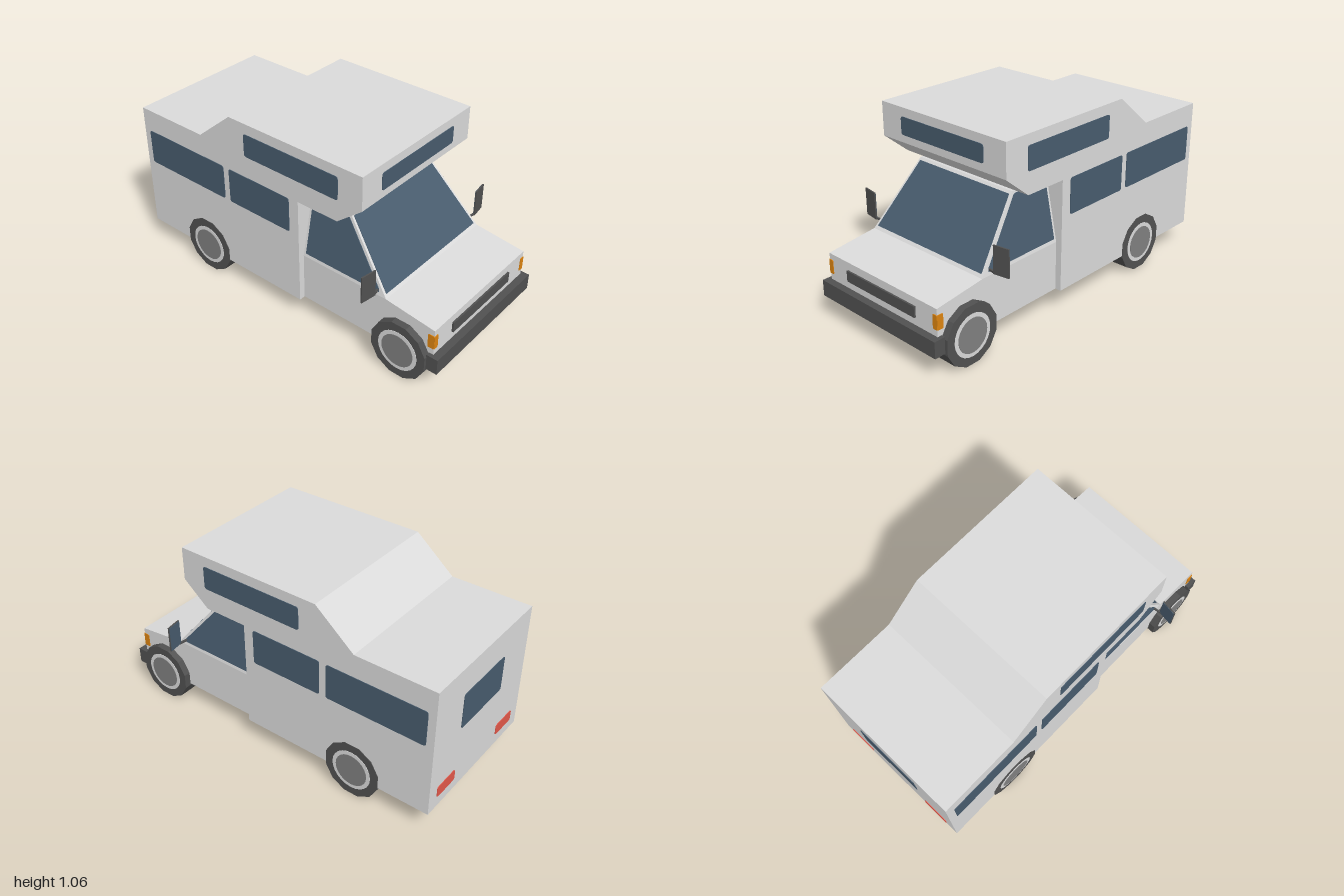
import * as THREE from 'three';

const paint = (name, color) =>
  new THREE.MeshStandardMaterial({ name, color, flatShading: true, side: THREE.DoubleSide });

export function createModel() {
  const van = new THREE.Group();
  van.name = 'camperVan';
  const shell = paint('pale grey bodywork', 0xdbdbdb);
  const glass = paint('blue window', 0x485c6e);
  const dark = paint('dark rubber and trim', 0x515151);
  const hubGrey = paint('hub grey', 0x808080);
  const amber = paint('amber lamp', 0xde8511);
  const red = paint('red lamp', 0xe4584a);

  const add = (name, geometry, material, x = 0, y = 0, z = 0) => {
    const mesh = new THREE.Mesh(geometry, material);
    mesh.name = name;
    mesh.position.set(x, y, z);
    van.add(mesh);
    return mesh;
  };

  // Moves a flat geometry (u, v, depth) onto a wall of the van
  const place = (geometry, wall) => {
    const p = geometry.attributes.position;
    for (let i = 0; i < p.count; i++) p.setXYZ(i, ...wall(p.getX(i), p.getY(i), p.getZ(i)));
    geometry.computeVertexNormals();
    return geometry;
  };
  const outline = (points) => new THREE.Shape(points.map(([u, v]) => new THREE.Vector2(u, v)));
  const panel = (name, points, wall) =>
    add(name, place(new THREE.ShapeGeometry(outline(points)), wall), shell);

  // Thin plate set through a wall, so it shows on both sides
  const plate = (name, shape, wall, material) => {
    const g = new THREE.ExtrudeGeometry(shape, { depth: 0.007, bevelEnabled: false, curveSegments: 3 });
    g.translate(0, 0, -0.0035);
    return add(name, place(g, wall), material);
  };
  const rounded = (u0, u1, v0, v1, r = 0.014) => {
    const s = new THREE.Shape();
    s.moveTo(u0 + r, v0).lineTo(u1 - r, v0).quadraticCurveTo(u1, v0, u1, v0 + r);
    s.lineTo(u1, v1 - r).quadraticCurveTo(u1, v1, u1 - r, v1);
    s.lineTo(u0 + r, v1).quadraticCurveTo(u0, v1, u0, v1 - r);
    s.lineTo(u0, v0 + r).quadraticCurveTo(u0, v0, u0 + r, v0);
    return s;
  };

  // Walls: u runs along z on the sides and along x across the van
  const sideWall = (s, half) => (u, v, w) => [s * (half + w), v, u];
  const cabUpper = (s) => (u, v, w) => [s * (0.4 - (v - 0.4) * 0.206 + w), v, u];
  const across = (z) => (u, v, w) => [u, v, z + w];
  const screen = (u, v, w) => [u, v, 0.67 - (v - 0.4) * 0.824 + w];
  const strip = (name, [z0, y0], [z1, y1], half) =>
    panel(name, [[-half, 0], [half, 0], [half, 1], [-half, 1]],
      (u, v) => [u, y0 + (y1 - y0) * v, z0 + (z1 - z0) * v]);

  // Living box, open underneath
  const H = 0.435;
  const box = [[0.14, 0.128], [0.14, 0.75], [0.39, 0.75], [0.54, 0.873], [0.54, 1.06],
    [-0.315, 1.06], [-0.54, 0.873], [-0.998, 0.873], [-0.998, 0.128]];
  const boxNames = ['bulkhead', 'overcabFloor', 'overcabSlope', 'overcabFront', 'highRoof',
    'roofSlope', 'rearRoof', 'rearWall'];
  boxNames.forEach((name, i) => strip(name, box[i], box[i + 1], H));
  plate('overcabFrontWindow', rounded(-0.29, 0.29, 0.915, 1.012), across(0.54), glass);

  // Window and lamps on the rear wall, repeated on the bulkhead
  for (const z of [-0.998, 0.14]) {
    plate('rearWindow', rounded(-0.19, 0.19, 0.505, 0.71), across(z), glass);
    for (const s of [-1, 1])
      plate('rearLamp', rounded(s * 0.285 - 0.08, s * 0.285 + 0.08, 0.19, 0.255), across(z), red);
  }

  // Cab front, bonnet, windscreen frame and roof
  strip('cabFront', [0.96, 0.128], [0.96, 0.365], 0.4);
  strip('bonnet', [0.96, 0.365], [0.67, 0.4], 0.4);
  panel('windscreenFrame', [[-0.4, 0.4], [0.4, 0.4], [0.33, 0.74], [-0.33, 0.74]], screen);
  strip('cabRoof', [0.39, 0.74], [0.14, 0.74], 0.33);
  plate('windscreen', outline([[-0.382, 0.417], [0.382, 0.417], [0.32, 0.727], [-0.32, 0.727]]),
    screen, glass);
  add('grille', new THREE.BoxGeometry(0.504, 0.06, 0.02), dark, 0, 0.291, 0.96);
  add('bumper', new THREE.BoxGeometry(0.844, 0.09, 0.065), dark, 0, 0.172, 0.9675);

  for (const s of [-1, 1]) {
    // Living box side and windows
    panel('boxSide', box, sideWall(s, H));
    for (const [z0, z1, y0, y1] of [[-0.215, 0.395, 0.872, 1.002],
      [-0.34, 0.08, 0.545, 0.745], [-0.955, -0.38, 0.545, 0.745]])
      plate('sideWindow', rounded(z0, z1, y0, y1), sideWall(s, H), glass);

    // Cab side and door window
    panel('cabLowerSide', [[0.96, 0.128], [0.96, 0.365], [0.67, 0.4], [0.14, 0.4], [0.14, 0.128]],
      sideWall(s, 0.4));
    panel('cabUpperSide', [[0.67, 0.4], [0.39, 0.74], [0.14, 0.74], [0.14, 0.4]], cabUpper(s));
    plate('doorWindow', outline([[0.625, 0.42], [0.62, 0.437], [0.385, 0.722], [0.375, 0.727],
      [0.155, 0.727], [0.155, 0.42]]), cabUpper(s), glass);

    // Corner lamp wrapping front and side
    plate('cornerLampFront', rounded(s * 0.3875 - 0.0145, s * 0.3875 + 0.0145, 0.253, 0.332, 0.006),
      across(0.96), amber);
    plate('cornerLampSide', rounded(0.925, 0.962, 0.253, 0.332, 0.006), sideWall(s, 0.4), amber);

    // Mirror with glass on its back, on a short arm
    add('mirrorArm', new THREE.BoxGeometry(0.06, 0.01, 0.01), dark, s * 0.413, 0.43, 0.619)
      .rotation.y = -s * 0.15;
    const mirror = new THREE.Group();
    mirror.name = 'mirror';
    const housing = add('mirrorHousing', new THREE.BoxGeometry(0.09, 0.152, 0.008), dark);
    const pane = add('mirrorGlass', new THREE.BoxGeometry(0.085, 0.147, 0.003), glass, 0, 0, -0.005);
    mirror.add(housing, pane);
    mirror.position.set(s * 0.477, 0.501, 0.62);
    mirror.rotation.y = s * 0.15;
    van.add(mirror);

    // Twelve-sided wheels with a pale rim and grey hub
    for (const z of [0.777, -0.545]) {
      const disc = (name, r, length, sides, material, x) => add(name,
        new THREE.CylinderGeometry(r, r, length, sides).rotateY(Math.PI / 12).rotateZ(-s * Math.PI / 2),
        material, s * x, 0.16, z);
      disc('tyre', 0.1656, 0.136, 12, [dark, dark, hubGrey], 0.37);
      disc('rim', 0.116, 0.004, 24, shell, 0.438);
      disc('hub', 0.094, 0.004, 24, hubGrey, 0.44);
    }
  }
  return van;
}
